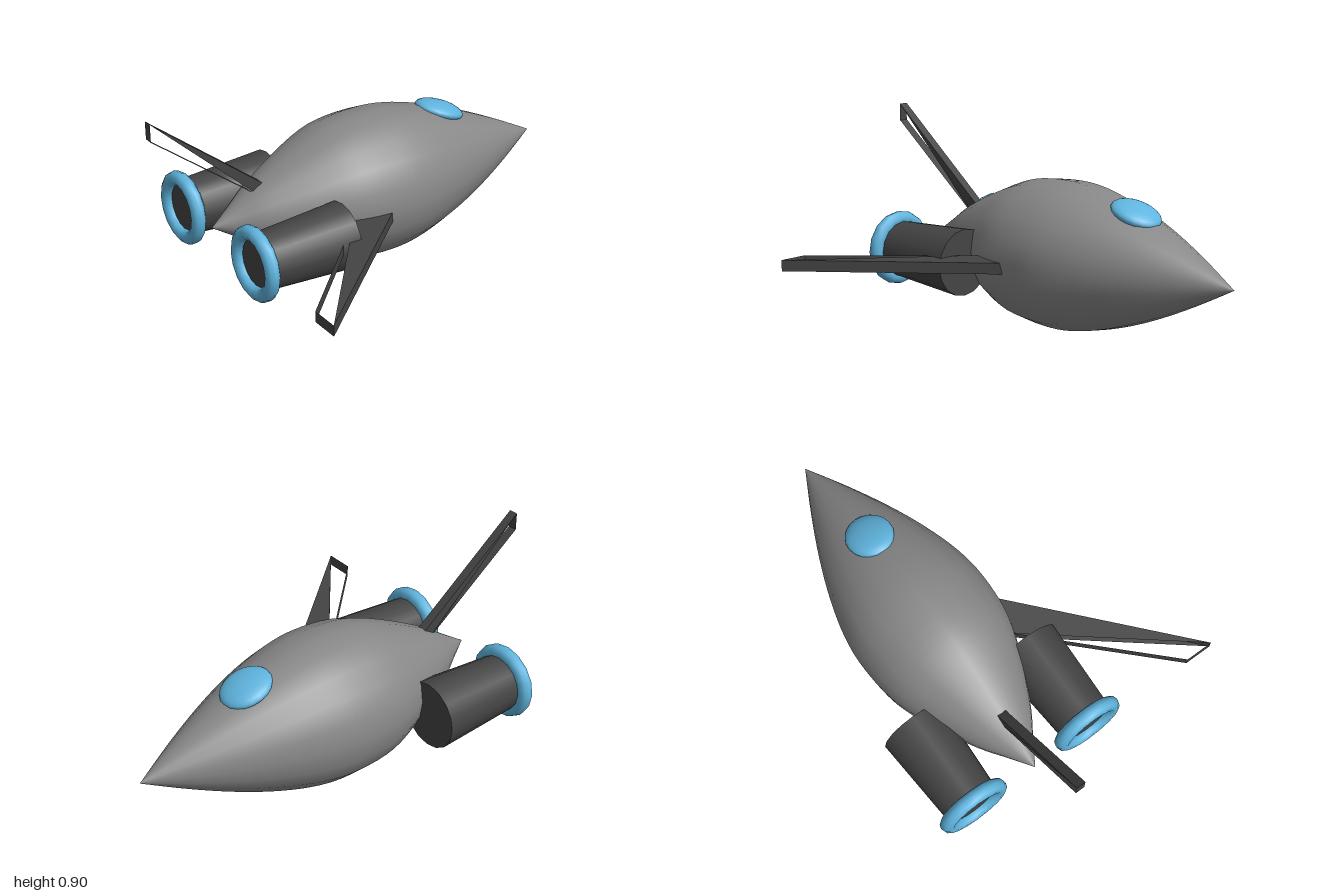
import * as THREE from 'three';

const AXIS_Y = 0.335, AXIS_Z = -0.245;

// Swept fin from a four-cornered outline [tip, tipRear, rootRear, rootFront].
// Walls run all round; the side plates cover only the front triangle,
// leaving an open slot along the rear edge.
function finGeometry(outline, place, half) {
  const pos = [];
  const p = (i, s) => place(outline[i][0], outline[i][1], s * half);
  const tri = (a, b, c) => pos.push(...a, ...b, ...c);
  for (let i = 0; i < 4; i++) {
    const j = (i + 1) % 4;
    tri(p(i, -1), p(j, -1), p(j, 1));
    tri(p(i, -1), p(j, 1), p(i, 1));
  }
  tri(p(0, 1), p(2, 1), p(3, 1));
  tri(p(0, -1), p(3, -1), p(2, -1));
  const g = new THREE.BufferGeometry();
  g.setAttribute('position', new THREE.Float32BufferAttribute(pos, 3));
  g.computeVertexNormals();
  return g;
}

export function createModel() {
  const group = new THREE.Group();
  const mat = (name, color) => {
    const m = new THREE.MeshStandardMaterial({ color });
    m.name = name;
    return m;
  };
  const hullGrey = mat('hullGrey', 0x888888);
  const darkGrey = mat('darkGrey', 0x444444);
  darkGrey.side = THREE.DoubleSide;
  const skyBlue = mat('skyBlue', 0x5fb4de);

  const add = (name, geometry, material, x = 0, y = 0, z = 0) => {
    const m = new THREE.Mesh(geometry, material);
    m.name = name;
    m.position.set(x, y, z);
    group.add(m);
    return m;
  };

  // Spindle hull, pointed at both ends, lying along x
  const curve = new THREE.SplineCurve([
    [0, -0.73], [0.072, -0.62], [0.15, -0.5], [0.25, -0.3], [0.315, -0.12],
    [0.333, 0.07], [0.318, 0.23], [0.27, 0.41], [0.198, 0.6], [0.105, 0.8], [0, 1],
  ].map(([r, x]) => new THREE.Vector2(r, x)));
  const profile = curve.getPoints(40);
  profile.forEach(v => { v.x = Math.max(v.x, 0); });
  const hull = add('hull', new THREE.LatheGeometry(profile, 20), hullGrey, 0, AXIS_Y, AXIS_Z);
  hull.rotation.z = -Math.PI / 2;

  // Canopy bubble following the slope of the nose
  const canopy = add('canopy', new THREE.SphereGeometry(1, 20, 14), skyBlue, 0.47, 0.577, AXIS_Z);
  canopy.scale.set(0.118, 0.04, 0.107);
  canopy.rotation.z = -0.35;

  // Engines with glowing rings at the rear
  for (const side of [-1, 1]) {
    const z = AXIS_Z + side * 0.305;
    const name = side > 0 ? 'front' : 'back';
    const engine = add(name + 'Engine',
      new THREE.CylinderGeometry(0.152, 0.125, 0.435, 16), darkGrey, -0.4825, 0.293, z);
    engine.rotation.z = -Math.PI / 2;
    const ring = add(name + 'EngineRing',
      new THREE.TorusGeometry(0.137, 0.033, 10, 16), skyBlue, -0.7, 0.293, z);
    ring.rotation.y = Math.PI / 2;
  }

  // Upright tail fin
  add('tailFin', finGeometry(
    [[-1, 0.9], [-1, 0.82], [-0.49, 0.42], [-0.4, 0.42]],
    (a, b, t) => [a, b, AXIS_Z + t], 0.021), darkGrey);

  // Side fin sweeping backwards
  add('sideFin', finGeometry(
    [[-0.74, 0.71], [-0.74, 0.58], [-0.2, 0.05], [0.03, 0.04]],
    (a, b, t) => [a, 0.31 + t, b], 0.025), darkGrey);

  return group;
}
